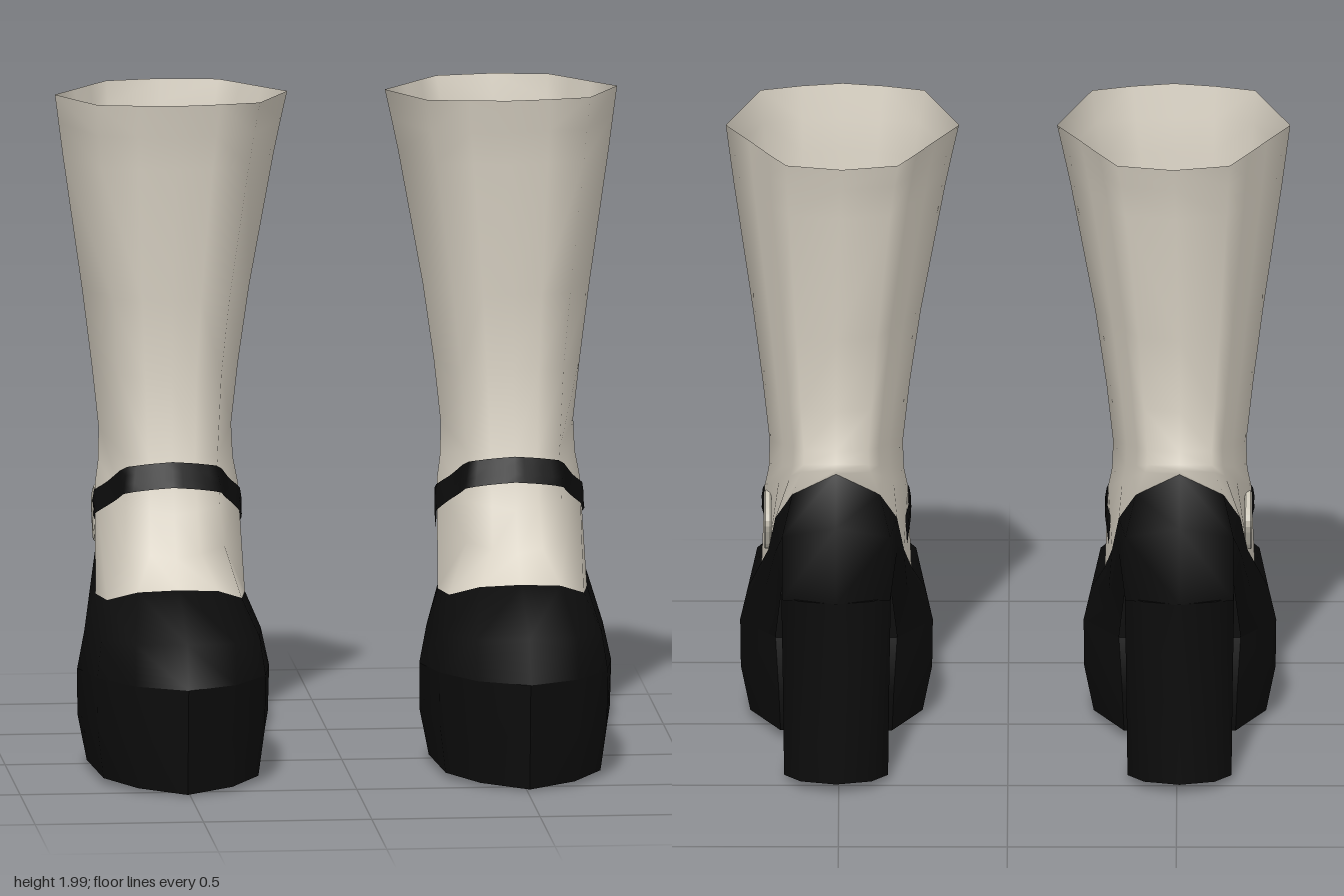
import * as THREE from 'three';
import { toCreasedNormals } from 'three/addons/utils/BufferGeometryUtils.js';

const material = (name, color, side = THREE.FrontSide) => {
  const m = new THREE.MeshStandardMaterial({ color, side });
  m.name = name;
  return m;
};

// Mirror half-ring stations [x, y, z] (front to back) into a full ring.
// Stations on the centre line are not doubled.
function fullRing(half) {
  const other = half.filter(p => p[0] !== 0).reverse().map(([x, y, z]) => [-x, y, z]);
  return [...half, ...other];
}

// Skin a stack of rings, listed from bottom to top.
function loft(rings, { closed = true, caps = false } = {}) {
  const n = rings[0].length, pos = rings.flat(2), index = [];
  for (let r = 0; r < rings.length - 1; r++) {
    for (let i = 0; i < (closed ? n : n - 1); i++) {
      const a = r * n + i, b = r * n + (i + 1) % n;
      index.push(a, b, b + n, a, b + n, a + n);
    }
  }
  if (caps) {
    const top = (rings.length - 1) * n;
    for (let i = 1; i < n - 1; i++) {
      index.push(0, i + 1, i, top, top + i, top + i + 1);
    }
  }
  const g = new THREE.BufferGeometry();
  g.setAttribute('position', new THREE.Float32BufferAttribute(pos, 3));
  g.setIndex(index);
  g.computeVertexNormals();
  return g;
}

function mirrored(geometry) {
  const g = geometry.clone().scale(-1, 1, 1);
  const src = g.index ? g.index.array : [...Array(g.attributes.position.count).keys()];
  const index = Array.from(src);
  for (let i = 0; i < index.length; i += 3) [index[i + 1], index[i + 2]] = [index[i + 2], index[i + 1]];
  g.setIndex(index);
  return g;
}

function roundedRect(target, w, h, r) {
  const x = w / 2, y = h / 2;
  target.moveTo(-x + r, -y).lineTo(x - r, -y).quadraticCurveTo(x, -y, x, -y + r)
    .lineTo(x, y - r).quadraticCurveTo(x, y, x - r, y)
    .lineTo(-x + r, y).quadraticCurveTo(-x, y, -x, y - r)
    .lineTo(-x, -y + r).quadraticCurveTo(-x, -y, -x + r, -y);
  return target;
}

export function createModel() {
  const black = material('black leather', 0x0c0c0c, THREE.DoubleSide);
  const cream = material('cream sock', 0xd9d2c4, THREE.DoubleSide);
  const metal = material('pale buckle', 0xc9c4b6);

  // Shoe upper: sole line, widest line, opening
  const soleLine = [[0, .33, .6], [.15, .33, .515], [.25, .33, .36], [.285, .31, .08],
    [.18, .33, -.12], [.16, .57, -.31], [.16, .6, -.51], [0, .62, -.6]];
  const wideLine = [[0, .46, .56], [.15, .45, .49], [.235, .44, .33], [.262, .42, .06],
    [.21, .5, -.16], [.18, .68, -.32], [.16, .8, -.51], [0, .86, -.592]];
  const opening = [[0, .575, .28], [.12, .565, .25], [.2, .52, .12], [.222, .515, -.02],
    [.2, .65, -.22], [.18, .78, -.3], [.13, .9, -.42], [0, 1, -.51]];
  const upper = loft([soleLine, wideLine, opening].map(fullRing));

  // Sock: eight-sided leg rings rising from the shoe opening
  const legProfile = [[0, 0], [.35, .03], [.7, .08], [1, .48], [.8, .66], [.64, .81], [.48, .95], [0, 1]];
  const legRings = [ // front y, back y, front z, back z, half width, x shift
    [.65, 1.01, .18, -.505, .212, 0],
    [.77, 1.025, .115, -.495, .2, 0],
    [.92, 1.06, .055, -.48, .197, 0],
    [1.17, 1.17, .022, -.44, .217, 0],
    [1.4, 1.4, .03, -.445, .248, -.002],
    [1.8, 1.8, .072, -.487, .313, -.01],
    [1.9, 1.9, .09, -.505, .33, -.014],
    [2, 1.97, .11, -.52, .345, -.018],
  ].map(([yF, yB, zF, zB, w, cx]) =>
    fullRing(legProfile.map(([x, t]) => [x * w, yF + (yB - yF) * t, zF + (zB - zF) * t]))
      .map(([x, y, z]) => [x + cx, y, z]));
  const sock = loft([fullRing(opening), ...legRings]);

  // Platform sole
  const front = soleLine.slice(0, 5);
  const platform = toCreasedNormals(loft([
    [[0, .012, .57], [.14, .02, .49], [.23, .025, .34], [.255, .03, .06], [.165, .035, -.12]],
    [[0, .17, .585], [.15, .17, .505], [.248, .17, .355], [.283, .17, .06], [.17, .17, -.155]],
    front,
  ].map(fullRing), { caps: true }), .7);

  // Block heel
  const heelPlan = [[0, -.312], [.15, -.312], [.162, -.47], [.11, -.555], [0, -.595]];
  const heelRing = (y0, y1, s, back) => fullRing(heelPlan.map(([x, z]) => {
    const t = (-.312 - z) / .283;
    return [x * s, y0 + (y1 - y0) * t, z + back * t];
  }));
  const heel = toCreasedNormals(loft([
    heelRing(.008, .04, .95, .02), heelRing(.3, .3, .97, .014), heelRing(.575, .62, 1, 0),
  ], { caps: true }), .7);

  // Strap: a slanted band laid over the instep
  const targets = [sock, upper].map(g => new THREE.Mesh(g, cream));
  const ray = new THREE.Raycaster();
  const onSkin = (angle, lift, offset) => {
    const dir = new THREE.Vector3(Math.sin(angle), .6 * Math.cos(angle), Math.cos(angle)).normalize();
    ray.set(new THREE.Vector3(0, .718 + lift, -.2), dir);
    const hit = ray.intersectObjects(targets)[0];
    return ray.ray.at((hit ? hit.distance : .2) + offset, new THREE.Vector3());
  };
  const angles = Array.from({ length: 33 }, (_, i) => (i / 16 - 1) * 1.65);
  const strap = loft([-.045, -.015, .015, .045].map(lift =>
    angles.map(a => onSkin(a, lift, .009).toArray())), { closed: false });

  // Buckle on the outer side
  const at = onSkin(1.48, 0, 0);
  const frameShape = roundedRect(new THREE.Shape(), .135, .145, .045);
  frameShape.holes.push(roundedRect(new THREE.Path(), .085, .095, .025));
  const place = g => g.rotateZ(-.5).rotateY(Math.PI / 2).translate(at.x + .004, at.y, at.z);
  const frame = place(new THREE.ExtrudeGeometry(frameShape, {
    depth: .014, bevelEnabled: true, bevelSize: .004, bevelThickness: .004, bevelSegments: 1, curveSegments: 4,
  }));
  const prong = place(new THREE.BoxGeometry(.07, .014, .012).translate(-.025, 0, .012));

  const parts = [
    ['shoeUpper', upper, black], ['sock', sock, cream], ['platformSole', platform, black],
    ['blockHeel', heel, black], ['ankleStrap', strap, black],
    ['buckleFrame', frame, metal], ['bucklePron', prong, metal],
  ];

  // Left and right pair
  const model = new THREE.Group();
  model.name = 'platformShoes';
  for (const side of [1, -1]) {
    const shoe = new THREE.Group();
    shoe.name = side > 0 ? 'leftShoe' : 'rightShoe';
    shoe.position.x = side * .508;
    for (const [name, geometry, mat] of parts) {
      const mesh = new THREE.Mesh(side > 0 ? geometry : mirrored(geometry), mat);
      mesh.name = name === 'bucklePron' ? 'buckleProng' : name;
      shoe.add(mesh);
    }
    model.add(shoe);
  }
  return model;
}
